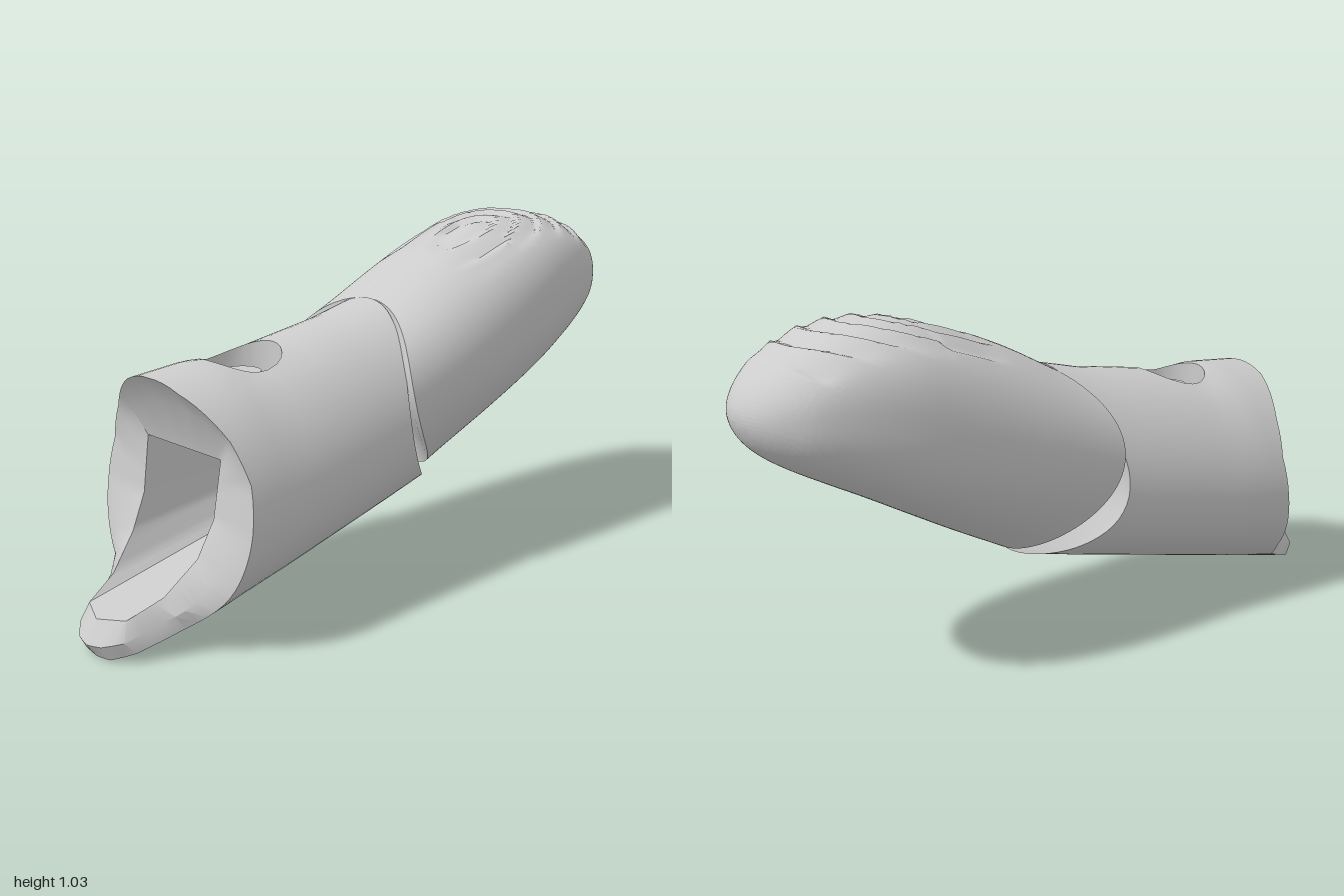
import * as THREE from 'three';
import { toCreasedNormals } from 'three/addons/utils/BufferGeometryUtils.js';

const V = (x, y, z) => new THREE.Vector3(x, y, z);
const range = (n, f) => Array.from({ length: n + 1 }, (_, i) => f(i / n));
const mix = THREE.MathUtils.lerp;
const smooth = THREE.MathUtils.smoothstep;

// Linear lookup in rows of [key, value, value...]
function lookup(table, key, col = 1) {
  if (key <= table[0][0]) return table[0][col];
  for (let i = 1; i < table.length; i++) {
    const [a, b] = [table[i - 1], table[i]];
    if (key <= b[0]) return mix(a[col], b[col], (key - a[0]) / (b[0] - a[0]));
  }
  return table[table.length - 1][col];
}

// Joins rows of points into triangles, leaving out empty ones
function skin(out, rows, skip = () => false) {
  const tri = (a, b, c) => {
    const area = b.clone().sub(a).cross(c.clone().sub(a)).length();
    if (area > 1e-9) for (const p of [a, b, c]) out.push(p.x, p.y, p.z);
  };
  for (let i = 0; i < rows.length - 1; i++) {
    for (let j = 0; j < rows[i].length - 1; j++) {
      if (skip(i, j)) continue;
      tri(rows[i][j], rows[i + 1][j], rows[i][j + 1]);
      tri(rows[i][j + 1], rows[i + 1][j], rows[i + 1][j + 1]);
    }
  }
}

function meshFrom(points, name, crease) {
  let g = new THREE.BufferGeometry();
  g.setAttribute('position', new THREE.Float32BufferAttribute(points, 3));
  g = toCreasedNormals(g, crease);
  const mesh = new THREE.Mesh(g, new THREE.MeshStandardMaterial({ color: 0xcccccc, side: THREE.DoubleSide }));
  mesh.name = name;
  return mesh;
}

// Angles run round each section from the bottom, through +x, to the top
const rad = THREE.MathUtils.degToRad;
const half = (deg) => (deg > 180 ? 360 - deg : deg);
const side = (deg) => (deg > 180 ? -1 : 1);
const shrink = (row, centre, s) => row.map((p) => V(p.x * s, mix(centre, p.y, s), p.z));
const jointBulge = 0.165;
const jointZ = (deg) => -0.113 - 0.077 * Math.cos(rad(deg)) + jointBulge * Math.sin(rad(deg)) ** 2;

// ---- Socket: outer sleeve, scooped mouth, cavity and screw recess ----
const topLine = [[-0.2, 0.85], [-0.02, 0.82], [0.1, 0.79], [0.35, 0.75], [0.5, 0.728], [0.6, 0.735], [0.77, 0.72], [1, 0.7]];
const widthLine = [[-0.15, 0.277], [0.05, 0.287], [0.4, 0.305], [0.7, 0.322], [1, 0.33]];
// Front edge of the sleeve: angle, z
const frontEdge = [[0, 0.97], [10, 0.965], [20, 0.92], [30, 0.8], [35, 0.775], [50, 0.735], [70, 0.715], [90, 0.695], [110, 0.68], [130, 0.7], [145, 0.73], [160, 0.758], [180, 0.77]];
// Cavity loops: angle, x, y, z
const mouth = [[0, 0, 0.105, 0.965], [20, 0.085, 0.115, 0.93], [40, 0.115, 0.16, 0.83], [60, 0.145, 0.25, 0.74], [90, 0.155, 0.35, 0.69], [135, 0.16, 0.51, 0.665], [180, 0, 0.51, 0.665]];
const cavityEnd = [[0, 0, 0.22, 0.38], [20, 0.1, 0.22, 0.38], [40, 0.115, 0.24, 0.38], [60, 0.145, 0.3, 0.38], [90, 0.15, 0.37, 0.38], [135, 0.15, 0.485, 0.38], [180, 0, 0.485, 0.38]];

// Egg-shaped section, widest a little below its middle
function sleeve(deg, z) {
  const top = lookup(topLine, z), bottom = 0.235 * (0.975 - z);
  const s = Math.sin(rad(deg)), c = Math.cos(rad(deg));
  return V(lookup(widthLine, z) * s, mix(bottom, top, 0.5 - 0.5 * c) - 0.04 * s * s, z);
}
const onTop = (x, z) => sleeve(180 - THREE.MathUtils.radToDeg(Math.asin(x / lookup(widthLine, z))), z);

function makeSocket() {
  const points = [];
  const degs = range(72, (t) => t * 360);
  const loop = (table) => degs.map((d) => V(side(d) * lookup(table, half(d), 1), lookup(table, half(d), 2), lookup(table, half(d), 3)));
  const z0 = 0.62, z1 = 0.3, holeZ = 0.46;
  const zFront = (d) => lookup(frontEdge, half(d));
  const zBack = (d) => jointZ(d) + 0.016 + 0.012 * Math.cos(rad(d));
  const band = (n, from, to) => range(n, (t) => degs.map((d) => sleeve(d, mix(from(d), to(d), t))));

  // Cavity and the scooped face around its mouth
  const rim = loop(mouth), end = loop(cavityEnd);
  const edge = degs.map((d) => sleeve(d, zFront(d)));
  const lip = rim.map((p, i) => {
    const c = Math.cos(rad(degs[i]));
    return p.clone().lerp(edge[i], 0.6).add(V(0, 0, c > 0 ? 0.005 + 0.027 * c ** 4 : 0.005 - 0.03 * c * c));
  });
  skin(points, [end.map(() => V(0, 0.35, 0.38)), end, rim, lip, edge]);

  // Outer sleeve, with a gap left for the recess
  skin(points, band(4, zFront, () => z0));
  skin(points, band(6, () => z0, () => z1), (i, j) => j >= 30 && j < 42);
  const back = band(5, () => z1, zBack);
  const inset = shrink(back[5], 0.52, 0.93);
  skin(points, [...back, inset, inset.map(() => V(0, 0.52, -0.06))]);

  // Round recess with a small boss on its floor
  const border = [
    ...range(6, (t) => sleeve(150, mix(z1, z0, t))),
    ...range(12, (t) => sleeve(mix(150, 210, t), z0)).slice(1),
    ...range(6, (t) => sleeve(210, mix(z0, z1, t))).slice(1),
    ...range(12, (t) => sleeve(mix(210, 150, t), z1)).slice(1),
  ];
  const ring = (r, y) => border.map((p) => {
    const a = Math.atan2(p.z - holeZ, p.x);
    const x = r * Math.cos(a), z = holeZ + r * Math.sin(a);
    return y === undefined ? onTop(x, z) : V(x, y, z);
  });
  const hole = ring(0.113);
  const between = border.map((p, i) => onTop((p.x + hole[i].x) / 2, (p.z + hole[i].z) / 2));
  skin(points, [border, between, hole, ring(0.113, 0.645), ring(0.056, 0.645), ring(0.056, 0.685), ring(0, 0.685)]);
  return meshFrom(points, 'socket', 0.6);
}

// ---- Fingertip: tilted sections from the joint to the rounded end ----
// Half width, then y and z of the top, then y and z of the bottom
const tipSections = [
  [0.283, 0.82, -0.036, 0.285, -0.19], [0.288, 0.905, -0.2, 0.375, -0.36], [0.284, 0.985, -0.4, 0.465, -0.52],
  [0.272, 1.028, -0.58, 0.545, -0.66], [0.246, 1.022, -0.73, 0.61, -0.78], [0.208, 0.98, -0.85, 0.66, -0.87],
  [0.158, 0.93, -0.925, 0.7, -0.93], [0.105, 0.885, -0.97, 0.74, -0.97], [0.052, 0.845, -0.993, 0.78, -0.992],
  [0, 0.812, -1, 0.812, -1],
];

// Depth of the curved pad grooves at a spot on the upper surface
function groove(x, z) {
  const dx = x - 0.03, dz = z + 0.47;
  const r = dz < 0 ? Math.hypot(dx * 1.15, dz) : Math.hypot(dx, dz * 0.35);
  const fade = smooth(-z, 0.24, 0.36) * (1 - smooth(-z, 0.84, 0.9)) * (1 - smooth(Math.abs(x), 0.16, 0.23));
  const wave = (r / 0.075) % 1;
  return 0.02 * fade * Math.min(wave, (1 - wave) * 3);
}

function makeFingertip() {
  const top = new THREE.CatmullRomCurve3(tipSections.map((s) => V(s[0], s[1], s[2])), false, 'catmullrom');
  const low = new THREE.CatmullRomCurve3(tipSections.map((s) => V(s[0], s[3], s[4])), false, 'catmullrom');
  const rows = range(108, (t) => {
    const a = top.getPoint(t), b = low.getPoint(t);
    const power = 1 - 0.22 * smooth(t, 0, 0.35) * (1 - smooth(t, 0.4, 0.9));
    const bulge = jointBulge * Math.max(0, 1 - t / 0.28) ** 2;
    return range(120, (u) => {
      const s = Math.sin(u * 2 * Math.PI), c = Math.cos(u * 2 * Math.PI);
      const k = 0.5 - 0.5 * Math.sign(c) * Math.abs(c) ** power;
      const x = a.x * Math.sign(s) * Math.abs(s) ** power;
      const p = V(x, mix(b.y, a.y, k), mix(b.z, a.z, k) + bulge * s * s);
      if (c < 0) p.y -= groove(p.x, p.z) * smooth(-c, 0.3, 0.6);
      return p;
    });
  });
  const inset = shrink(rows[0], 0.55, 0.93);
  const points = [];
  skin(points, [inset.map(() => V(0, 0.55, -0.09)), inset, ...rows]);
  return meshFrom(points, 'fingertip', 0.6);
}

export function createModel() {
  const model = new THREE.Group();
  model.name = 'fingerProsthesis';
  model.add(makeSocket(), makeFingertip());
  return model;
}
